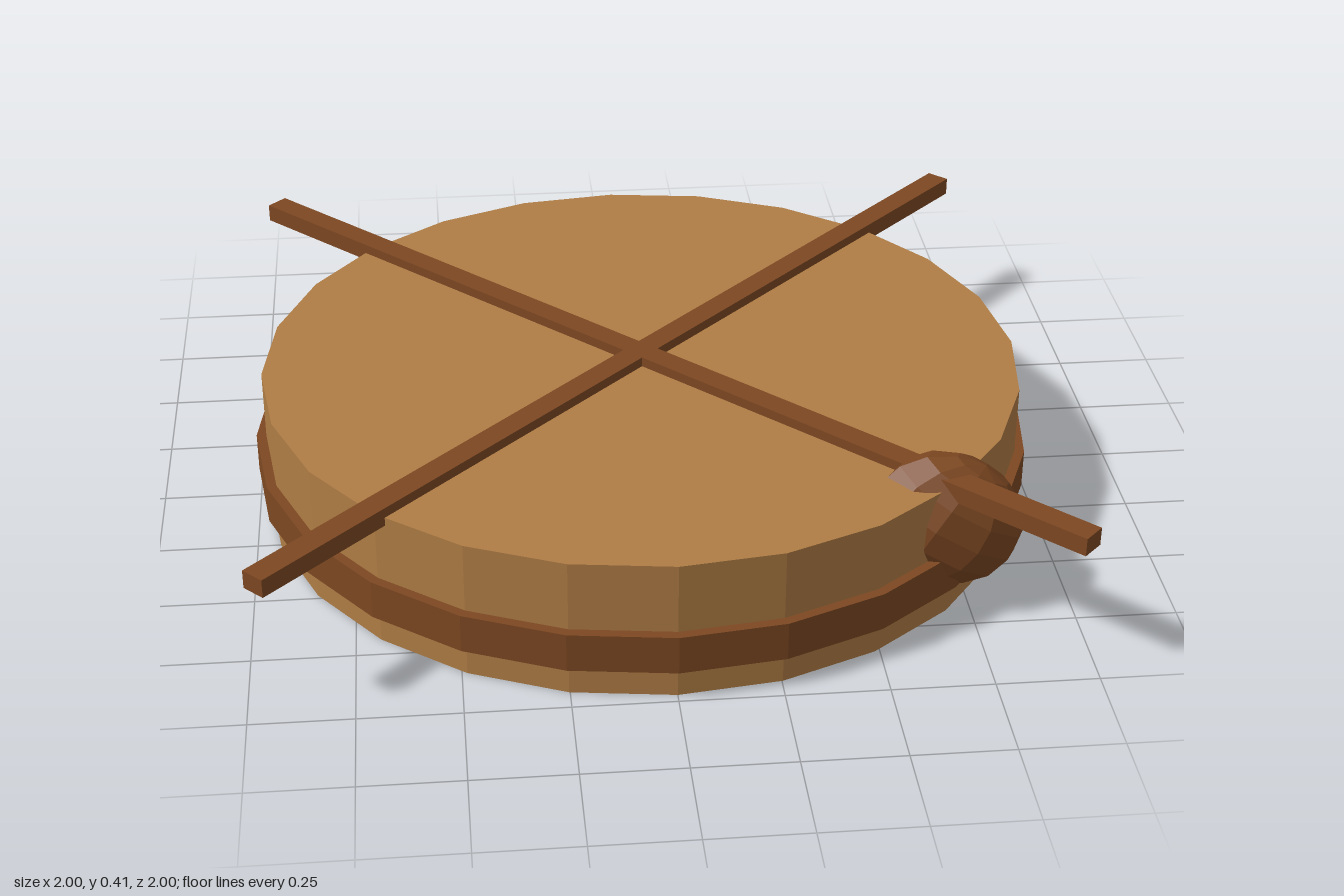
import * as THREE from 'three';

const wood = (color) => new THREE.MeshStandardMaterial({ color, flatShading: true });

export function createModel() {
  const group = new THREE.Group();
  const light = wood(0xb07d45);
  const dark = wood(0x7d4822);

  const add = (name, geometry, material, x, y, z) => {
    const mesh = new THREE.Mesh(geometry, material);
    mesh.name = name;
    mesh.position.set(x, y, z);
    group.add(mesh);
    return mesh;
  };

  // Round faceted body
  add('body', new THREE.CylinderGeometry(0.975, 0.975, 0.36, 24), light, 0, 0.18, 0);

  // Band around the lower half
  add('band', new THREE.CylinderGeometry(1, 1, 0.1, 24), dark, 0, 0.13, 0);

  // Two crossed bars lying in the top face and overhanging the rim
  for (const side of [1, -1]) {
    const bar = add('crossBar', new THREE.BoxGeometry(2.72, 0.047, 0.063), dark, 0, 0.362, 0);
    bar.rotation.y = side * Math.PI / 4;
  }

  // Tilted oval knob at the front left edge
  const knob = add('knob', new THREE.SphereGeometry(1, 10, 8), dark, 0.69, 0.238, 0.637);
  knob.scale.set(0.2, 0.166, 0.125);
  knob.rotation.z = -0.55;

  return group;
}
